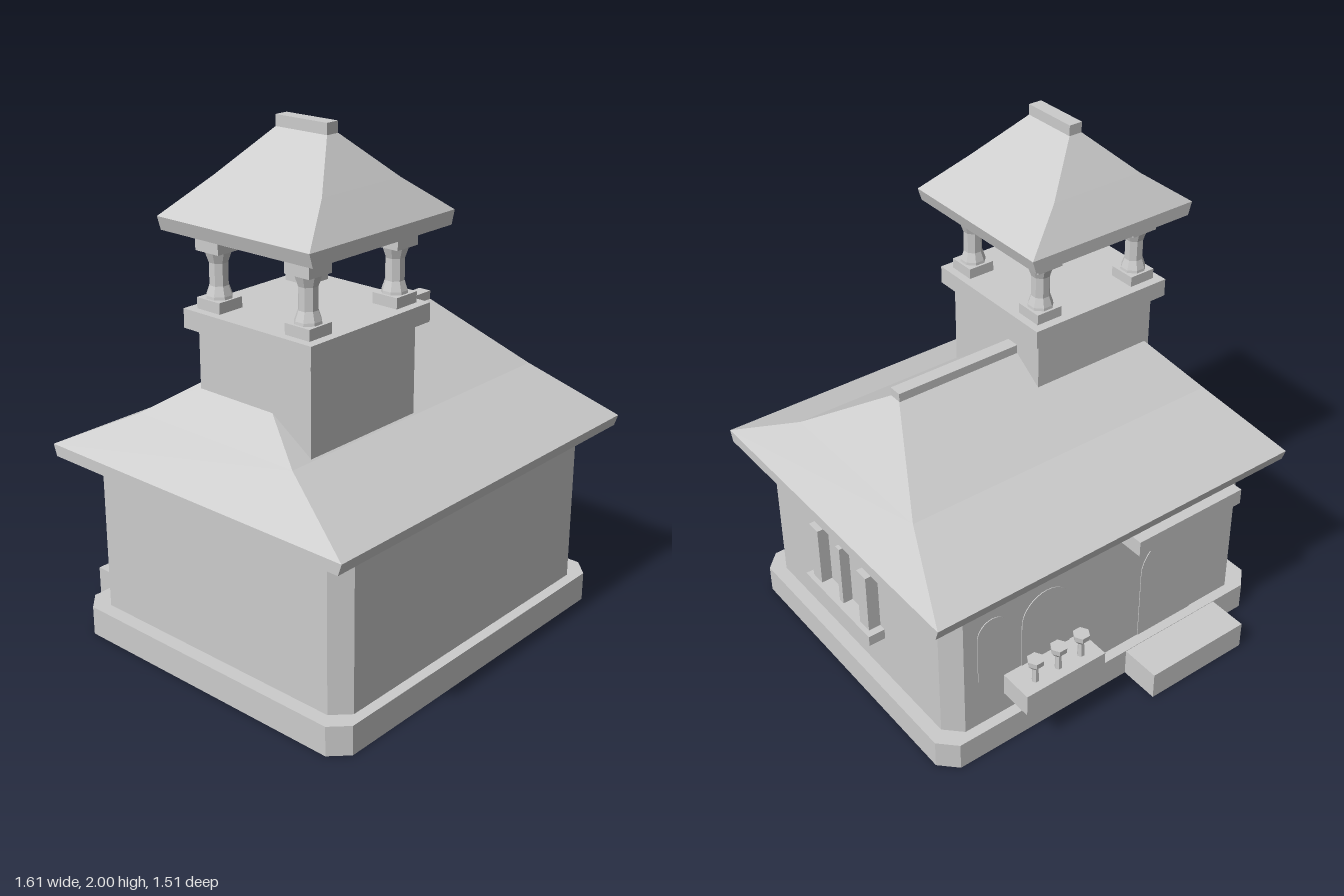
import * as THREE from 'three';

const stone = new THREE.MeshStandardMaterial({ color: 0xcccccc, flatShading: true, side: THREE.DoubleSide });
stone.name = 'pale grey';

function add(parent, name, geometry, x = 0, y = 0, z = 0) {
  const mesh = new THREE.Mesh(geometry, stone);
  mesh.name = name;
  mesh.position.set(x, y, z);
  parent.add(mesh);
  return mesh;
}

// Box given by its limits on each axis
function block(parent, name, [x0, x1], [y0, y1], [z0, z1]) {
  return add(parent, name, new THREE.BoxGeometry(x1 - x0, y1 - y0, z1 - z0),
    (x0 + x1) / 2, (y0 + y1) / 2, (z0 + z1) / 2);
}

// Rectangle with cut corners, counter-clockwise seen from above
function ring(y, hx, hz, cut = 0) {
  if (!cut) return [[hx, y, hz], [hx, y, -hz], [-hx, y, -hz], [-hx, y, hz]];
  const a = hx - cut, b = hz - cut;
  return [[a, y, hz], [hx, y, b], [hx, y, -b], [a, y, -hz],
    [-a, y, -hz], [-hx, y, -b], [-hx, y, b], [-a, y, hz]];
}

// Flat-sided surface through a stack of rings
function loft(rings, bottom = true) {
  const p = [], n = rings[0].length;
  const tri = (a, b, c) => p.push(...a, ...b, ...c);
  for (let k = 0; k < rings.length - 1; k++) {
    for (let i = 0; i < n; i++) {
      const j = (i + 1) % n, lo = rings[k], hi = rings[k + 1];
      tri(lo[i], lo[j], hi[j]);
      tri(lo[i], hi[j], hi[i]);
    }
  }
  const top = rings[rings.length - 1], base = rings[0];
  for (let i = 1; i < n - 1; i++) {
    tri(top[0], top[i], top[i + 1]);
    if (bottom) tri(base[0], base[i + 1], base[i]);
  }
  const g = new THREE.BufferGeometry();
  g.setAttribute('position', new THREE.Float32BufferAttribute(p, 3));
  g.computeVertexNormals();
  return g;
}

// Thin round-headed plate on the back wall
function archPlate(parent, name, x, y0, y1, width) {
  const r = width / 2, s = new THREE.Shape();
  s.moveTo(-r, y0);
  s.lineTo(r, y0);
  s.lineTo(r, y1 - r);
  s.absarc(0, y1 - r, r, 0, Math.PI, false);
  s.closePath();
  const g = new THREE.ExtrudeGeometry(s, { depth: 0.006, bevelEnabled: false, curveSegments: 8 });
  add(parent, name, g, x, 0, -0.556);
}

const lathe = (pts, sides) =>
  new THREE.LatheGeometry(pts.map(([r, y]) => new THREE.Vector2(r, y)), sides, Math.PI / sides);

export function createModel() {
  const model = new THREE.Group();
  model.name = 'towerHouse';

  // House: open-bottomed plinth, walls and flared hip roof
  const house = new THREE.Group();
  house.name = 'house';
  model.add(house);
  add(house, 'plinth', loft([ring(0, 0.762, 0.655, 0.065), ring(0.115, 0.762, 0.655, 0.065)], false), 0, 0, 0.06);
  add(house, 'walls', loft([ring(0.115, 0.707, 0.613, 0.063), ring(0.73, 0.707, 0.613, 0.063)]), 0, 0, 0.06);
  add(house, 'mainRoof', loft([
    ring(0.725, 0.805, 0.685), ring(0.77, 0.805, 0.7),
    ring(0.94, 0.67, 0.37), ring(1.172, 0.483, 0.025),
  ]), 0, 0, 0.057);
  block(house, 'ridgeCap', [-0.483, 0.483], [1.165, 1.205], [0.03, 0.083]);

  // Back door with step and canopy
  block(house, 'doorStep', [-0.54, -0.083], [0, 0.113], [-0.757, -0.56]);
  block(house, 'doorCanopy', [-0.56, -0.06], [0.648, 0.713], [-0.66, -0.54]);
  archPlate(house, 'door', -0.31, 0.115, 0.56, 0.27);

  // Back windows
  archPlate(house, 'backWindow', 0.28, 0.29, 0.6, 0.22);
  archPlate(house, 'backShutter', 0.52, 0.33, 0.6, 0.13);

  // Flower box with three flowers
  const planter = new THREE.Group();
  planter.name = 'flowerBox';
  model.add(planter);
  block(planter, 'box', [0.11, 0.47], [0.203, 0.295], [-0.69, -0.545]);
  for (const x of [0.185, 0.29, 0.395]) {
    add(planter, 'flower', lathe([[0.014, 0], [0.012, 0.06], [0.031, 0.082], [0.033, 0.105], [0, 0.105]], 6), x, 0.295, -0.64);
  }

  // Side window
  const win = new THREE.Group();
  win.name = 'sideWindow';
  model.add(win);
  block(win, 'sill', [0.69, 0.775], [0.298, 0.342], [-0.14, 0.302]);
  block(win, 'pane', [0.705, 0.712], [0.342, 0.62], [-0.058, 0.22]);
  block(win, 'mullion', [0.7, 0.752], [0.342, 0.605], [0.07, 0.096]);
  for (const z of [0.245, -0.083]) block(win, 'shutter', [0.7, 0.757], [0.345, 0.596], [z - 0.03, z + 0.03]);

  // Bell tower
  const tower = new THREE.Group();
  tower.name = 'tower';
  tower.position.set(-0.304, 0, 0.162);
  model.add(tower);
  block(tower, 'towerBody', [-0.268, 0.268], [0.85, 1.29], [-0.258, 0.258]);
  block(tower, 'towerLedge', [-0.304, 0.304], [1.285, 1.355], [-0.293, 0.293]);
  const shaft = lathe([[0.049, 1.39], [0.047, 1.405], [0.035, 1.44], [0.035, 1.52], [0.049, 1.56]], 8);
  for (const sx of [-1, 1]) {
    for (const sz of [-1, 1]) {
      const x = sx * 0.219, z = sz * 0.204, w = 0.054;
      block(tower, 'columnBase', [x - w, x + w], [1.355, 1.395], [z - w, z + w]);
      add(tower, 'column', shaft, x, 0, z);
      block(tower, 'columnCapital', [x - w, x + w], [1.56, 1.605], [z - w, z + w]);
    }
  }
  block(tower, 'towerBeam', [-0.285, 0.285], [1.604, 1.635], [-0.27, 0.27]);
  add(tower, 'towerRoof', loft([
    ring(1.63, 0.348, 0.342), ring(1.68, 0.363, 0.342),
    ring(1.805, 0.195, 0.242), ring(1.96, 0.027, 0.114),
  ]));
  block(tower, 'towerRidgeCap', [-0.027, 0.027], [1.955, 2], [-0.114, 0.114]);

  return model;
}
